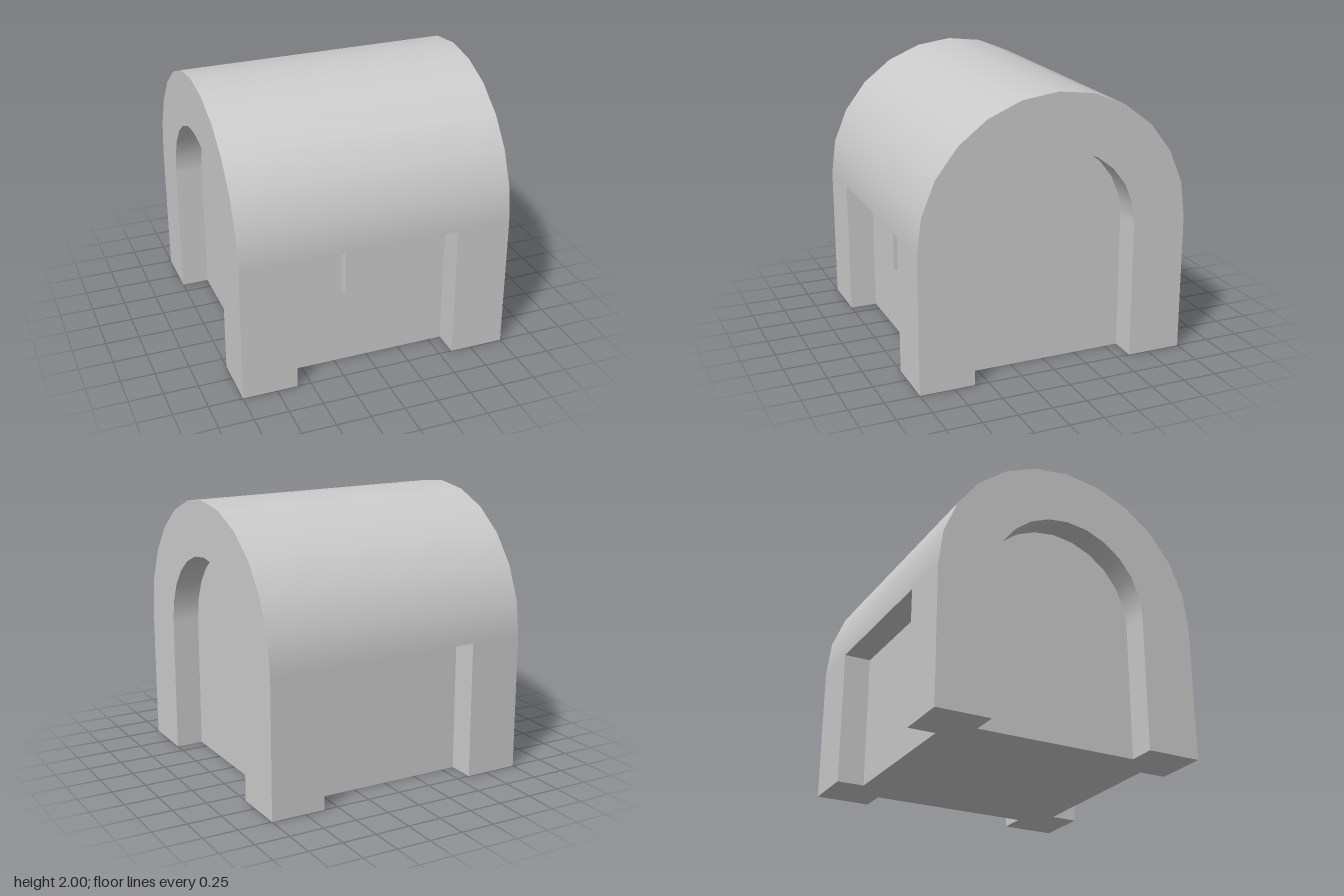
import * as THREE from 'three';

const material = new THREE.MeshStandardMaterial({ color: 0xcccccc });
const insideMaterial = new THREE.MeshStandardMaterial({ color: 0xcccccc, side: THREE.BackSide });

const SEGMENTS = 12; // sides of each half-round
const SPRING = 1; // height where the arches start
const OUTER = 1, INNER = 0.6, RECESS = 0.2;

function add(parent, name, geometry, x = 0, y = 0, z = 0, mat = material) {
  const mesh = new THREE.Mesh(geometry, mat);
  mesh.name = name;
  mesh.position.set(x, y, z);
  parent.add(mesh);
  return mesh;
}

// Half-round shell lying along x
function vault(radius, length) {
  return new THREE.CylinderGeometry(radius, radius, length, SEGMENTS, 1, true, 0, Math.PI)
    .rotateZ(Math.PI / 2);
}

// Footprint: square core with four corner posts, one corner turned four times
function footprint() {
  const core = OUTER - RECESS;
  let corner = [[core, INNER], [OUTER, INNER], [OUTER, OUTER], [INNER, OUTER], [INNER, core]];
  const points = [];
  for (let i = 0; i < 4; i++) {
    points.push(...corner.map(([x, z]) => new THREE.Vector2(x, z)));
    corner = corner.map(([x, z]) => [-z, x]);
  }
  return points;
}

// Upright walls along the footprint
function wallGeometry(points, height) {
  const positions = [];
  points.forEach((a, i) => {
    const b = points[(i + 1) % points.length];
    positions.push(a.x, 0, a.y, a.x, height, a.y, b.x, height, b.y);
    positions.push(a.x, 0, a.y, b.x, height, b.y, b.x, 0, b.y);
  });
  const geometry = new THREE.BufferGeometry();
  geometry.setAttribute('position', new THREE.Float32BufferAttribute(positions, 3));
  geometry.computeVertexNormals();
  return geometry;
}

export function createModel() {
  const model = new THREE.Group();
  model.name = 'archedChest';

  // Body and floor
  const plan = footprint();
  add(model, 'bodyWalls', wallGeometry(plan, SPRING));
  add(model, 'floor', new THREE.ShapeGeometry(new THREE.Shape(plan)).rotateX(Math.PI / 2));

  // Rounded lid
  add(model, 'lid', vault(OUTER, 2 * OUTER), 0, SPRING, 0);

  // Arched ends, each with a sunken panel
  const frameShape = new THREE.Shape();
  frameShape.absarc(0, 0, OUTER, 0, Math.PI, false);
  frameShape.absarc(0, 0, INNER, Math.PI, 0, true);
  const panelShape = new THREE.Shape();
  panelShape.absarc(0, 0, INNER, 0, Math.PI, false);

  for (const side of [1, -1]) {
    const end = new THREE.Group();
    end.name = side > 0 ? 'leftEnd' : 'rightEnd';
    const turn = side * Math.PI / 2;
    add(end, 'archFrame', new THREE.ShapeGeometry(frameShape, SEGMENTS / 2).rotateY(turn),
      side * OUTER, SPRING, 0);
    add(end, 'archPanel', new THREE.ShapeGeometry(panelShape, SEGMENTS / 2).rotateY(turn),
      side * (OUTER - RECESS), SPRING, 0);
    add(end, 'archReveal', vault(INNER, RECESS),
      side * (OUTER - RECESS / 2), SPRING, 0, insideMaterial);
    model.add(end);

    // Underside of the lid above the front and back recesses
    add(model, side > 0 ? 'frontLidUnderside' : 'backLidUnderside',
      new THREE.PlaneGeometry(2 * INNER, RECESS).rotateX(Math.PI / 2),
      0, SPRING, side * (OUTER - RECESS / 2));
  }

  // Latch on the front panel
  add(model, 'latch', new THREE.BoxGeometry(0.4, 0.4, 0.1), 0, 0.8, 0.85);

  return model;
}
